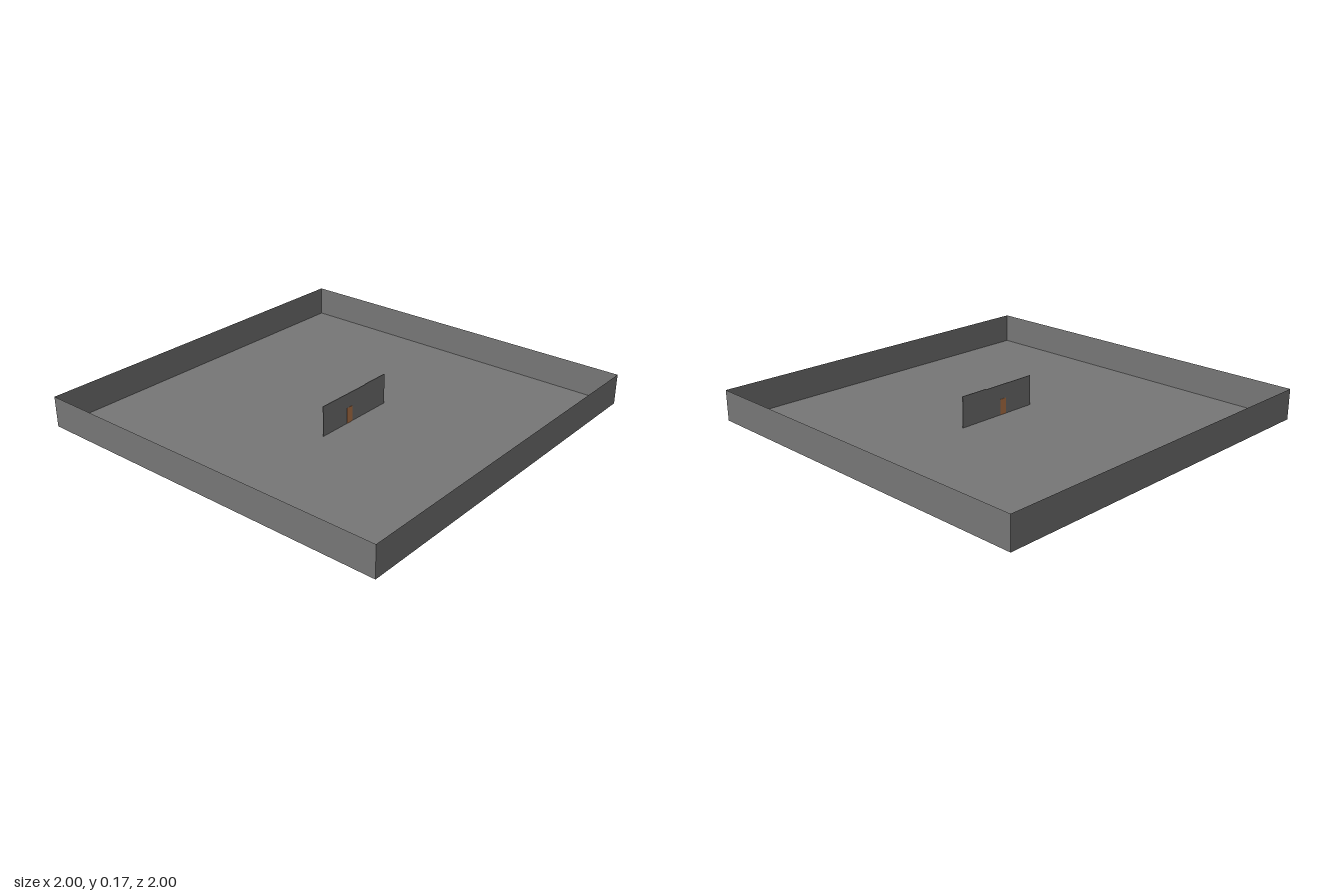
import * as THREE from 'three';

const darkGrey = new THREE.MeshStandardMaterial({ color: 0x767676, side: THREE.DoubleSide });
const brown = new THREE.MeshStandardMaterial({ color: 0xbc7a4c });

const HEIGHT = 0.163; // height of the outer walls
const WALL_X = 0.08;  // position of the inner partition
const LIFT = 0.001;   // keeps the partition just clear of the floor's underside

export function createModel() {
  const model = new THREE.Group();

  const add = (name, geometry, material, x, y, z) => {
    const mesh = new THREE.Mesh(geometry, material);
    mesh.name = name;
    mesh.position.set(x, y, z);
    model.add(mesh);
    return mesh;
  };

  // Paper-thin floor
  add('floor', new THREE.PlaneGeometry(2, 2), darkGrey, 0, 0, 0).rotation.x = -Math.PI / 2;

  // Four paper-thin outer walls, each turned to face outwards
  ['frontWall', 'leftWall', 'backWall', 'rightWall'].forEach((name, i) => {
    const a = i * Math.PI / 2;
    const wall = add(name, new THREE.PlaneGeometry(2, HEIGHT), darkGrey, Math.sin(a), HEIGHT / 2, Math.cos(a));
    wall.rotation.y = a;
  });

  // Inner partition in three panels, the rear one slightly taller
  [[-0.16, 0.165], [0, 0.162], [0.16, 0.162]].forEach(([z, h], i) => {
    add('partitionPanel' + (i + 1), new THREE.BoxGeometry(0.004, h, 0.16), darkGrey, WALL_X, LIFT + h / 2, z);
  });

  // Small door showing on both faces of the middle panel
  add('door', new THREE.BoxGeometry(0.006, 0.085, 0.04), brown, WALL_X, LIFT + 0.0425, 0.04);

  return model;
}
